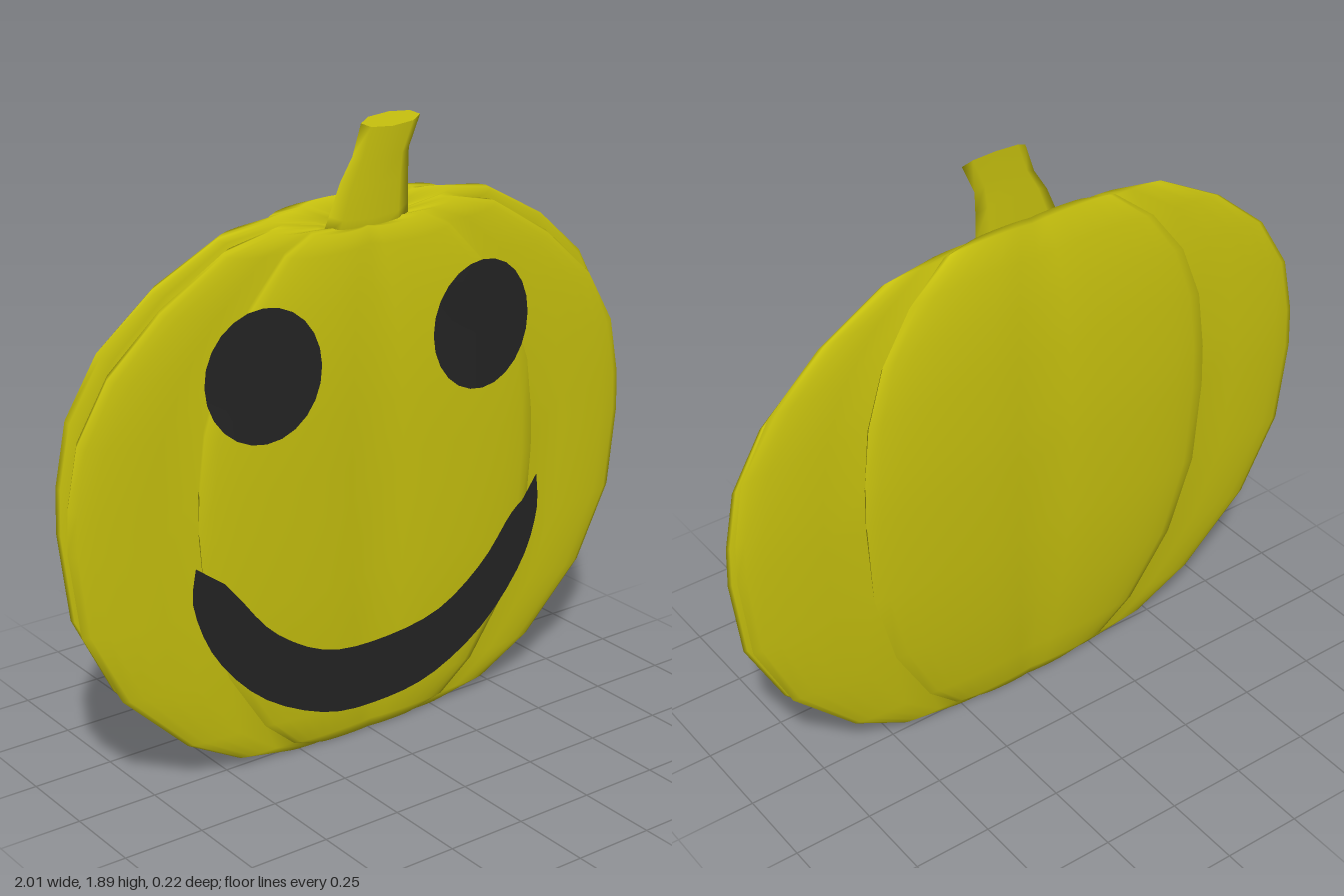
import * as THREE from 'three';

const skin = new THREE.MeshStandardMaterial({ color: 0xc6c00e });
skin.name = 'olive yellow';
const black = new THREE.MeshStandardMaterial({ color: 0x242424, side: THREE.DoubleSide });
black.name = 'black';

// Skin closed rings of [x, y, z] points, listed from bottom to top
function loft(rings) {
  const n = rings[0].length, index = [];
  for (let i = 0; i < rings.length - 1; i++) {
    for (let j = 0; j < n; j++) {
      const k = (j + 1) % n;
      const a = i * n + j, b = i * n + k, c = a + n, d = b + n;
      index.push(a, c, b, b, c, d);
    }
  }
  const geo = new THREE.BufferGeometry();
  geo.setAttribute('position', new THREE.Float32BufferAttribute(rings.flat(2), 3));
  geo.setIndex(index);
  geo.computeVertexNormals();
  return geo;
}

function ring(n, fn) {
  return Array.from({ length: n }, (_, j) => fn((j / n) * Math.PI * 2));
}

function part(name, geo, mat) {
  const mesh = new THREE.Mesh(geo, mat);
  mesh.name = name;
  return mesh;
}

// Flattened body with eight lobes, its crown tilted forward
function bodyGeometry() {
  const profile = [
    [0.005, 0.06], [0.14, 0.025], [0.28, 0.005], [0.46, 0.04], [0.64, 0.14],
    [0.85, 0.35], [0.97, 0.59], [1, 0.85], [0.995, 0.98], [0.96, 1.16], [0.86, 1.33],
    [0.69, 1.48], [0.48, 1.6], [0.32, 1.63], [0.16, 1.61], [0.005, 1.55],
  ];
  return loft(profile.map(([r, y]) => {
    const zc = 0.005 - 0.02 * Math.sin(Math.PI * Math.min(1, y / 1.7));
    return ring(64, (t) => {
      const lobe = 0.87 + 0.21 * Math.pow(Math.abs(Math.sin(4 * t)), 0.7);
      const dz = 0.095 * r * lobe * Math.sin(t);
      return [0.982 * r * lobe * Math.cos(t), y - 1.5 * dz * (y / 1.6), zc + dz];
    });
  }));
}

// Leaning eight-sided stem, with repeated rim rings for crisp caps
function stemGeometry() {
  const sections = [
    [0.005, 1.57, 0], [0.005, 1.57, 0.155], [0.018, 1.63, 0.14], [0.037, 1.72, 0.121],
    [0.06, 1.79, 0.1], [0.095, 1.88, 0.105], [0.095, 1.88, 0.105], [0.095, 1.88, 0],
  ];
  return loft(sections.map(([cx, y, w]) => ring(8, (t) => {
    const dz = 0.1 * w * Math.sin(t);
    return [cx + w * Math.cos(t), y - 1.8 * dz, 0.008 + dz];
  })));
}

// Eye disc bent to follow the curve of the face
function eyeGeometry(cx, cy) {
  const geo = new THREE.CircleGeometry(1, 24);
  const p = geo.attributes.position;
  for (let i = 0; i < p.count; i++) {
    const x = cx + p.getX(i) * 0.188, y = cy + p.getY(i) * 0.197;
    const out = Math.max(0, Math.abs(x) - 0.18);
    p.setXYZ(i, x, y, 0.11 - 0.15 * out * out - 0.02 * (y - cy));
  }
  geo.computeVertexNormals();
  return geo;
}

// Crescent smile
function mouthGeometry() {
  const v = (list) => list.map(([x, y]) => new THREE.Vector2(x, y));
  const shape = new THREE.Shape();
  shape.moveTo(-0.645, 0.72);
  shape.splineThru(v([[-0.655, 0.6], [-0.58, 0.42], [-0.42, 0.25], [-0.2, 0.14], [0, 0.12],
    [0.2, 0.15], [0.4, 0.26], [0.55, 0.43], [0.61, 0.59], [0.605, 0.715]]));
  shape.lineTo(0.55, 0.64);
  shape.splineThru(v([[0.5, 0.6], [0.39, 0.47], [0.22, 0.36], [0, 0.325],
    [-0.2, 0.345], [-0.38, 0.45], [-0.5, 0.59], [-0.55, 0.65]]));
  shape.closePath();
  return new THREE.ShapeGeometry(shape, 3).translate(0, 0, 0.09);
}

export function createModel() {
  const model = new THREE.Group();
  model.name = 'pumpkin';
  model.add(
    part('body', bodyGeometry(), skin),
    part('stem', stemGeometry(), skin),
    part('rightEye', eyeGeometry(-0.41, 1.24), black),
    part('leftEye', eyeGeometry(0.365, 1.248), black),
    part('mouth', mouthGeometry(), black),
  );
  return model;
}
